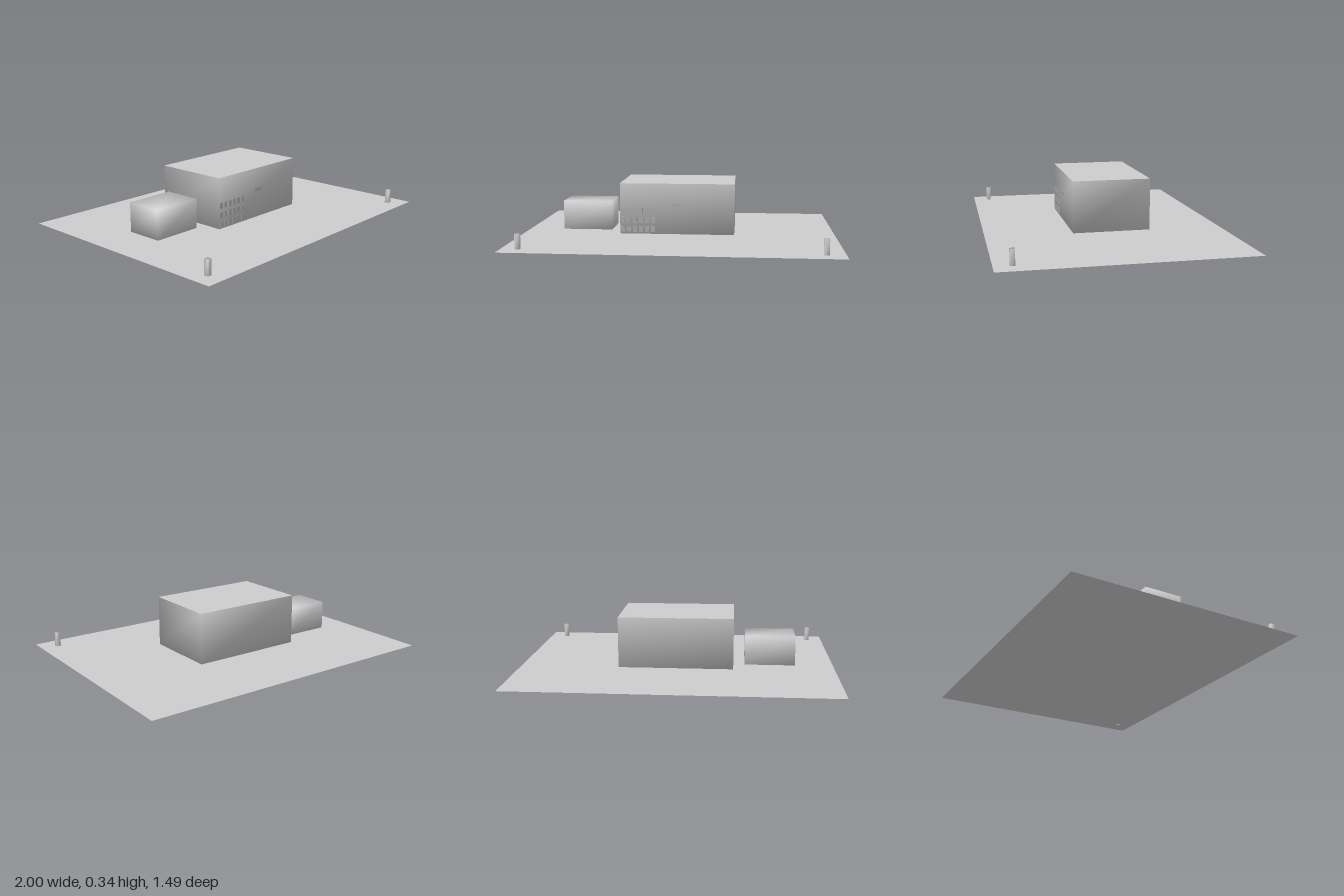
import * as THREE from 'three';
import { mergeVertices } from 'three/addons/utils/BufferGeometryUtils.js';

// Box from min/max corners with shared vertices, so normals blend round the corners
function softBox(min, max, openTop = false) {
  const size = max.map((v, i) => v - min[i]);
  let geo = new THREE.BoxGeometry(...size);
  geo.translate(...min.map((v, i) => (v + max[i]) / 2));
  geo.deleteAttribute('normal');
  geo.deleteAttribute('uv');
  if (openTop) {
    // The third face of a box is its top: indices 12 to 17
    const index = Array.from(geo.index.array);
    index.splice(12, 6);
    geo.setIndex(index);
  }
  geo.clearGroups();
  geo = mergeVertices(geo);
  geo.computeVertexNormals();
  return geo;
}

export function createModel() {
  const grey = new THREE.MeshStandardMaterial({ color: 0xcccccc });
  grey.name = 'lightGrey';
  const ground = new THREE.MeshStandardMaterial({ color: 0xcccccc, side: THREE.DoubleSide });
  ground.name = 'groundGrey';
  const dark = new THREE.MeshStandardMaterial({ color: 0xa6a6a6 });
  dark.name = 'windowGrey';

  const model = new THREE.Group();
  model.name = 'buildingOnPlot';
  const add = (name, geo, mat, parent = model) => {
    const mesh = new THREE.Mesh(geo, mat);
    mesh.name = name;
    parent.add(mesh);
    return mesh;
  };

  // Plot: one flat sheet
  add('plot', new THREE.PlaneGeometry(2, 1.492).rotateX(-Math.PI / 2), ground);

  // Main building, walls soft and roof flat
  const x = 0.36, zBack = -0.263, zFront = 0.217, bottom = 0.02, top = 0.34;
  const building = new THREE.Group();
  building.name = 'mainBuilding';
  model.add(building);
  add('walls', softBox([-x, bottom, zBack], [x, top, zFront], true), grey, building);
  const roof = new THREE.PlaneGeometry(2 * x, zFront - zBack).rotateX(-Math.PI / 2);
  add('roof', roof.translate(0, top, (zFront + zBack) / 2), grey, building);

  // Windows: three rows of six on the front
  const pane = new THREE.BoxGeometry(0.024, 0.037, 0.004);
  for (let row = 0; row < 3; row++) {
    for (let col = 0; col < 6; col++) {
      add('window', pane, dark, building)
        .position.set(-0.343 + col * 0.0385, 0.05 + row * 0.058, zFront + 0.001);
    }
  }

  // Plain plate over the entrance
  add('frontPlate', new THREE.BoxGeometry(0.076, 0.024, 0.004), dark, building)
    .position.set(0, 0.203, zFront + 0.001);

  // Side building
  add('sideBuilding', softBox([-0.75, 0.02, -0.145], [-0.433, 0.205, 0.095]), grey);

  // Gate posts at the front corners
  const post = softBox([-0.014, 0, -0.014], [0.014, 0.092, 0.014]);
  for (const px of [-0.897, 0.889]) {
    add('gatePost', post, grey).position.set(px, 0, 0.64);
  }
  return model;
}
